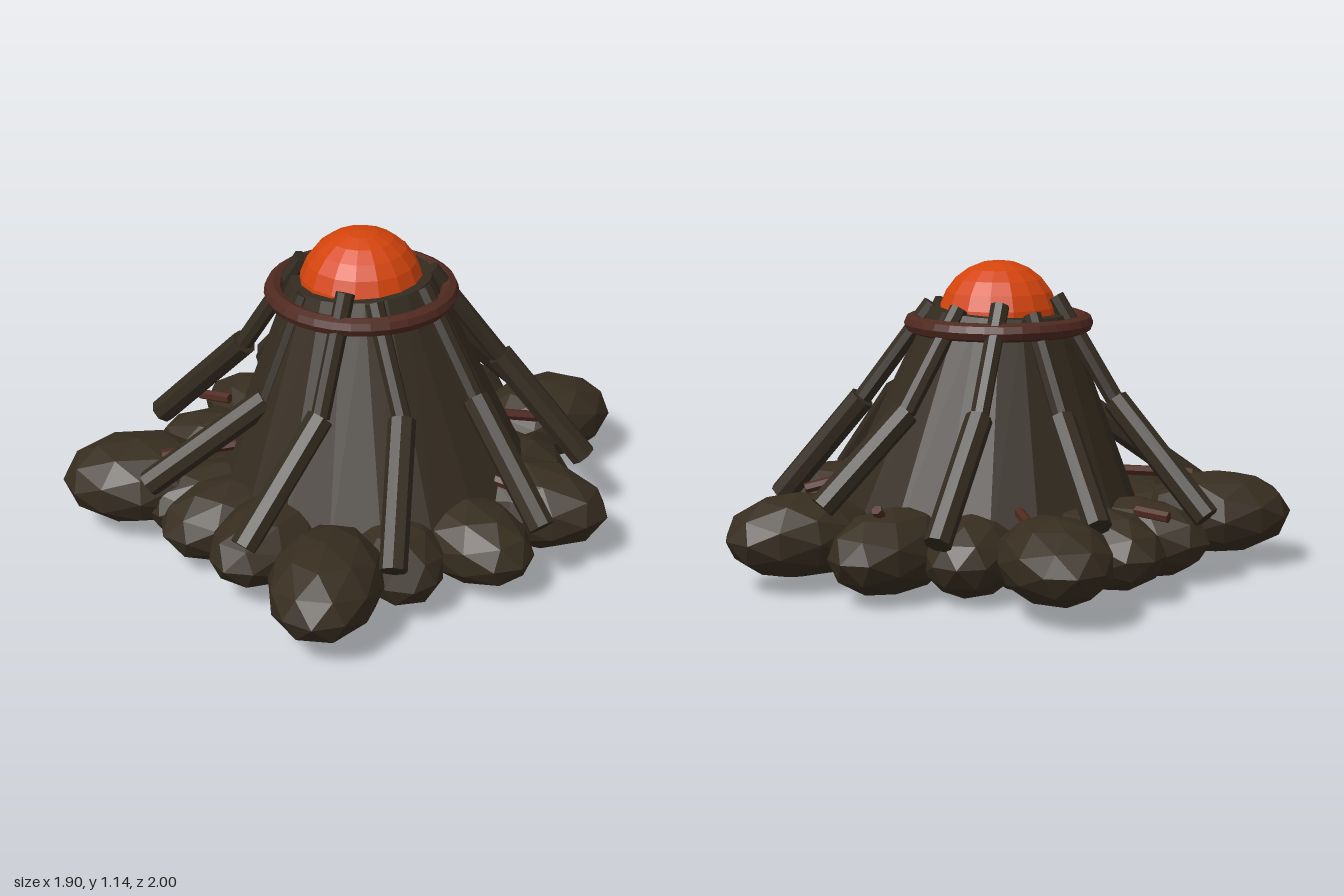
import * as THREE from 'three';

const CX = 0.07, CZ = 0.06; // axis of the mound

function material(name, color) {
  const m = new THREE.MeshStandardMaterial({ color, flatShading: true });
  m.name = name;
  return m;
}

export function createModel() {
  const model = new THREE.Group();
  model.name = 'moundHut';
  const earth = material('earth brown', 0x352c20);
  const stone = material('stone brown', 0x372d20);
  const wood = material('dark wood', 0x332b20);
  const rust = material('red brown', 0x4f2920);
  const ember = material('ember orange', 0xd4440c);

  function add(name, geometry, mat, x, y, z, parent = model) {
    const mesh = new THREE.Mesh(geometry, mat);
    mesh.name = name;
    mesh.position.set(x, y, z);
    parent.add(mesh);
    return mesh;
  }

  // Cylinder running between two points
  function rod(name, a, b, r, mat, parent, sides = 8) {
    const p = new THREE.Vector3(...a), q = new THREE.Vector3(...b);
    const dir = q.clone().sub(p);
    const mesh = add(name, new THREE.CylinderGeometry(r, r, dir.length(), sides), mat, 0, 0, 0, parent);
    mesh.position.copy(p).add(q).multiplyScalar(0.5);
    mesh.quaternion.setFromUnitVectors(new THREE.Vector3(0, 1, 0), dir.normalize());
  }

  // Slightly leaning mound, glowing dome and hoop
  const mound = add('mound', new THREE.CylinderGeometry(0.255, 0.605, 0.83, 20), earth, 0.09, 0.557, 0.05);
  mound.rotation.set(0.02, 0, 0.06);
  add('dome', new THREE.SphereGeometry(0.226, 16, 12), ember, CX, 0.922, CZ);
  const hoop = add('hoop', new THREE.TorusGeometry(0.314, 0.034, 8, 32), rust, CX, 0.92, CZ);
  hoop.rotation.x = Math.PI / 2;

  // Boulders: x, z, radial, tangential and vertical half sizes, height of centre
  const boulders = new THREE.Group();
  boulders.name = 'boulders';
  model.add(boulders);
  const boulder = (x, z, radial, tangential, high, y) => {
    const m = add('boulder', new THREE.IcosahedronGeometry(1, 1), stone, x, y, z, boulders);
    m.scale.set(radial, high, tangential);
    m.rotation.y = -Math.atan2(z - CZ, x - CX);
  };
  [
    // ring around the foot of the mound
    [0.21, -0.72, 0.28, 0.2, 0.155, 0.2],
    [-0.11, -0.54, 0.28, 0.18, 0.155, 0.175],
    [-0.26, -0.3, 0.27, 0.18, 0.15, 0.16],
    [-0.68, -0.26, 0.29, 0.2, 0.15, 0.21],
    [-0.5, 0.08, 0.29, 0.18, 0.15, 0.175],
    [-0.39, 0.32, 0.3, 0.17, 0.15, 0.16],
    [-0.38, 0.74, 0.28, 0.22, 0.155, 0.2],
    [-0.135, 0.545, 0.3, 0.16, 0.14, 0.155],
    [0.0, 0.6, 0.28, 0.18, 0.147, 0.155],
    [0.24, 0.6, 0.29, 0.18, 0.14, 0.18],
    [0.62, 0.66, 0.3, 0.2, 0.155, 0.2],
    [0.565, 0.31, 0.28, 0.17, 0.145, 0.16],
    [0.66, 0.06, 0.29, 0.18, 0.145, 0.175],
    [0.635, -0.24, 0.31, 0.19, 0.155, 0.195],
    [0.37, -0.33, 0.28, 0.18, 0.15, 0.165],
    // footing stones behind the outlying boulders
    [0.15, -0.38, 0.2, 0.19, 0.13, 0.145],
    [-0.34, -0.11, 0.2, 0.19, 0.13, 0.145],
    [-0.18, 0.43, 0.2, 0.19, 0.13, 0.145],
    [0.39, 0.41, 0.22, 0.19, 0.13, 0.145],
  ].forEach((b) => boulder(...b));

  // Bent poles: top, knee and foot as x, y, z
  const poles = new THREE.Group();
  poles.name = 'poles';
  model.add(poles);
  [
    [[0.0, 0.99, -0.17], [0.0, 0.64, -0.4], [0.08, 0.32, -0.71]],
    [[0.21, 0.99, -0.14], [0.36, 0.64, -0.35], [0.61, 0.26, -0.55]],
    [[0.3, 0.98, -0.03], [0.53, 0.62, -0.08], [0.9, 0.27, -0.07]],
    [[0.29, 0.98, 0.18], [0.49, 0.62, 0.22], [0.77, 0.25, 0.49]],
    [[0.23, 1.02, 0.26], [0.3, 0.62, 0.43], [0.34, 0.26, 0.8]],
    [[0.05, 0.96, 0.3], [0.0, 0.57, 0.44], [-0.22, 0.26, 0.81]],
    [[-0.1, 1.02, 0.19], [-0.29, 0.65, 0.32], [-0.65, 0.26, 0.45]],
    [[-0.17, 0.97, 0.03], [-0.36, 0.62, 0.02], [-0.69, 0.3, -0.08]],
    [[-0.14, 1.01, -0.09], [-0.26, 0.64, -0.27], [-0.43, 0.26, -0.57]],
  ].forEach(([top, knee, foot]) => {
    rod('upperPole', top, knee, 0.034, wood, poles);
    rod('lowerPole', knee, foot, 0.049, wood, poles);
  });

  // Red twigs poking out between the boulders
  const twigs = new THREE.Group();
  twigs.name = 'twigs';
  model.add(twigs);
  [
    [[0.32, 0.36, -0.41], [0.4, 0.32, -0.58]],
    [[-0.34, 0.31, -0.16], [-0.49, 0.3, -0.23]],
    [[0.58, 0.32, -0.1], [0.77, 0.31, -0.16]],
    [[-0.52, 0.29, 0.23], [-0.64, 0.28, 0.28]],
    [[-0.13, 0.35, 0.48], [-0.26, 0.33, 0.72]],
    [[-0.13, 0.28, -0.58], [-0.15, 0.34, -0.63]],
    [[0.5, 0.29, 0.28], [0.64, 0.32, 0.4]],
  ].forEach(([a, b]) => rod('twig', a, b, 0.02, rust, twigs, 6));

  return model;
}
